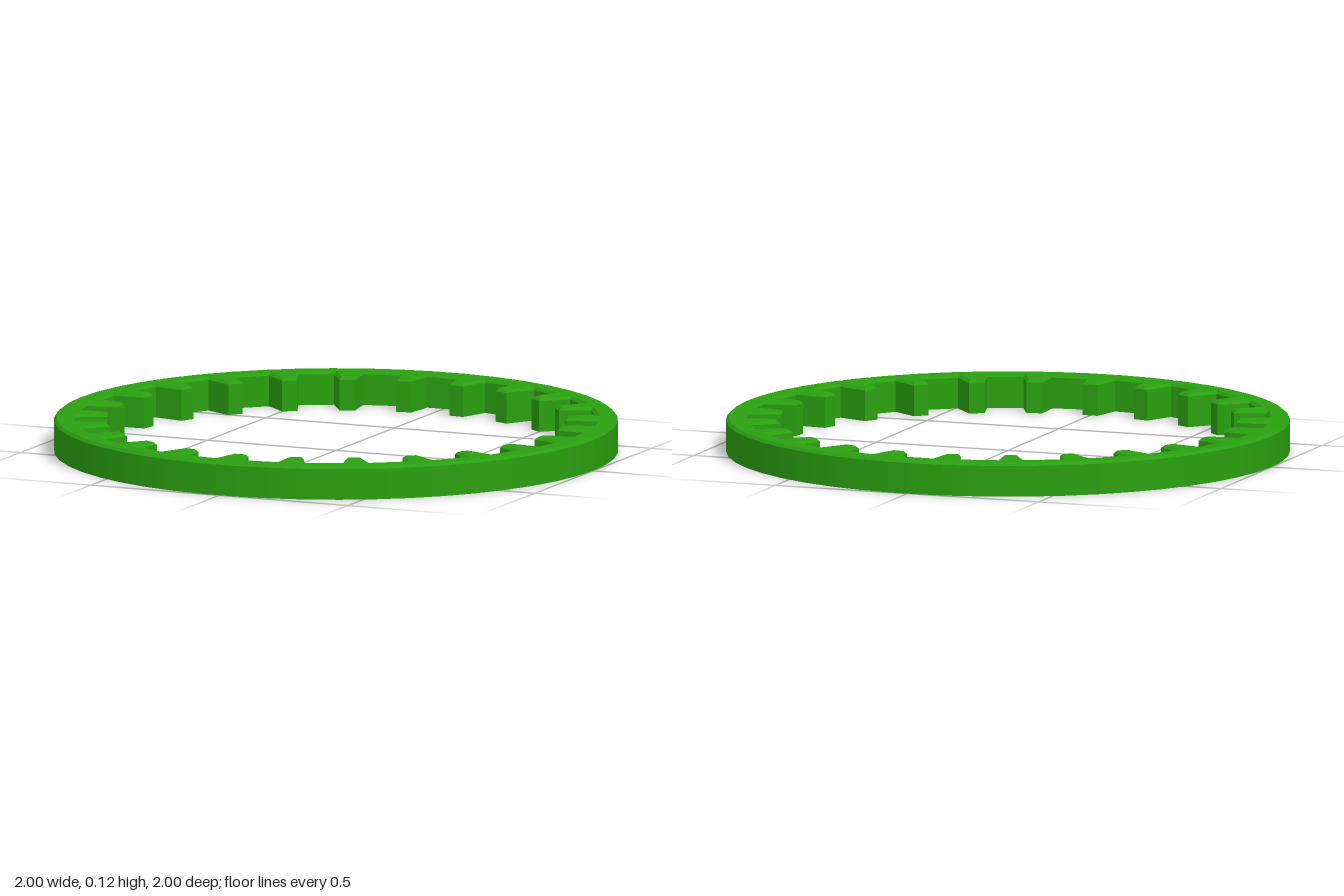
import * as THREE from 'three';

const TEETH = 25, SIDES = TEETH * 2;
const HEIGHT = 0.12, BEVEL = 0.01;

// Toothed inner outline as [x, z]; inset moves it into the material
function innerOutline(inset) {
  const root = 0.924 + inset, tip = 0.812 + inset;
  const rootHalf = 0.052 - inset * 0.8, tipHalf = 0.028 - inset * 0.8;
  const corners = [[-rootHalf, root], [-tipHalf, tip], [tipHalf, tip], [rootHalf, root]];
  const points = [];
  for (let i = 0; i < TEETH; i++) {
    const a = (i / TEETH) * Math.PI * 2, s = Math.sin(a), c = Math.cos(a);
    for (const [u, r] of corners) points.push([u * c + r * s, r * c - u * s]);
  }
  return points;
}

// Outer outline with flats aligned to the teeth and gaps
function outerOutline(radius) {
  return Array.from({ length: SIDES }, (_, i) => {
    const a = ((i + 0.5) / SIDES) * Math.PI * 2;
    return [radius * Math.sin(a), radius * Math.cos(a)];
  });
}

// Flat-faced band facing the centre, between two matching outlines
function innerBand(low, y0, high, y1) {
  const pos = [];
  low.forEach((p, i) => {
    const j = (i + 1) % low.length;
    const a0 = [p[0], y0, p[1]], a1 = [high[i][0], y1, high[i][1]];
    const b0 = [low[j][0], y0, low[j][1]], b1 = [high[j][0], y1, high[j][1]];
    pos.push(...a0, ...a1, ...b0, ...b0, ...a1, ...b1);
  });
  const geo = new THREE.BufferGeometry();
  geo.setAttribute('position', new THREE.Float32BufferAttribute(pos, 3));
  geo.computeVertexNormals();
  return geo;
}

// Smooth open band around the outside
function outerBand(rTop, rBottom, y0, y1) {
  const geo = new THREE.CylinderGeometry(rTop, rBottom, y1 - y0, SIDES, 1, true, Math.PI / SIDES);
  return geo.translate(0, (y0 + y1) / 2, 0);
}

export function createModel() {
  const group = new THREE.Group();
  group.name = 'internalRingGear';
  const material = new THREE.MeshStandardMaterial({ color: 0x2aa010, side: THREE.DoubleSide });
  const add = (name, geo) => {
    const mesh = new THREE.Mesh(geo, material);
    mesh.name = name;
    group.add(mesh);
  };
  const shoulder = HEIGHT - BEVEL;
  const teeth = innerOutline(0), teethTop = innerOutline(BEVEL);

  // Rim and its bevel; the shell is open underneath
  add('outerRim', outerBand(1, 1, 0, shoulder));
  add('outerBevel', outerBand(1 - BEVEL, 1, shoulder, HEIGHT));

  // Tooth walls and their bevel
  add('toothWalls', innerBand(teeth, 0, teeth, shoulder));
  add('toothBevel', innerBand(teeth, shoulder, teethTop, HEIGHT));

  // Flat top between the two bevels
  const toVec = ([x, z]) => new THREE.Vector2(x, -z);
  const shape = new THREE.Shape(outerOutline(1 - BEVEL).map(toVec));
  shape.holes.push(new THREE.Path(teethTop.map(toVec)));
  add('topFace', new THREE.ShapeGeometry(shape).rotateX(-Math.PI / 2).translate(0, HEIGHT, 0));

  return group;
}
